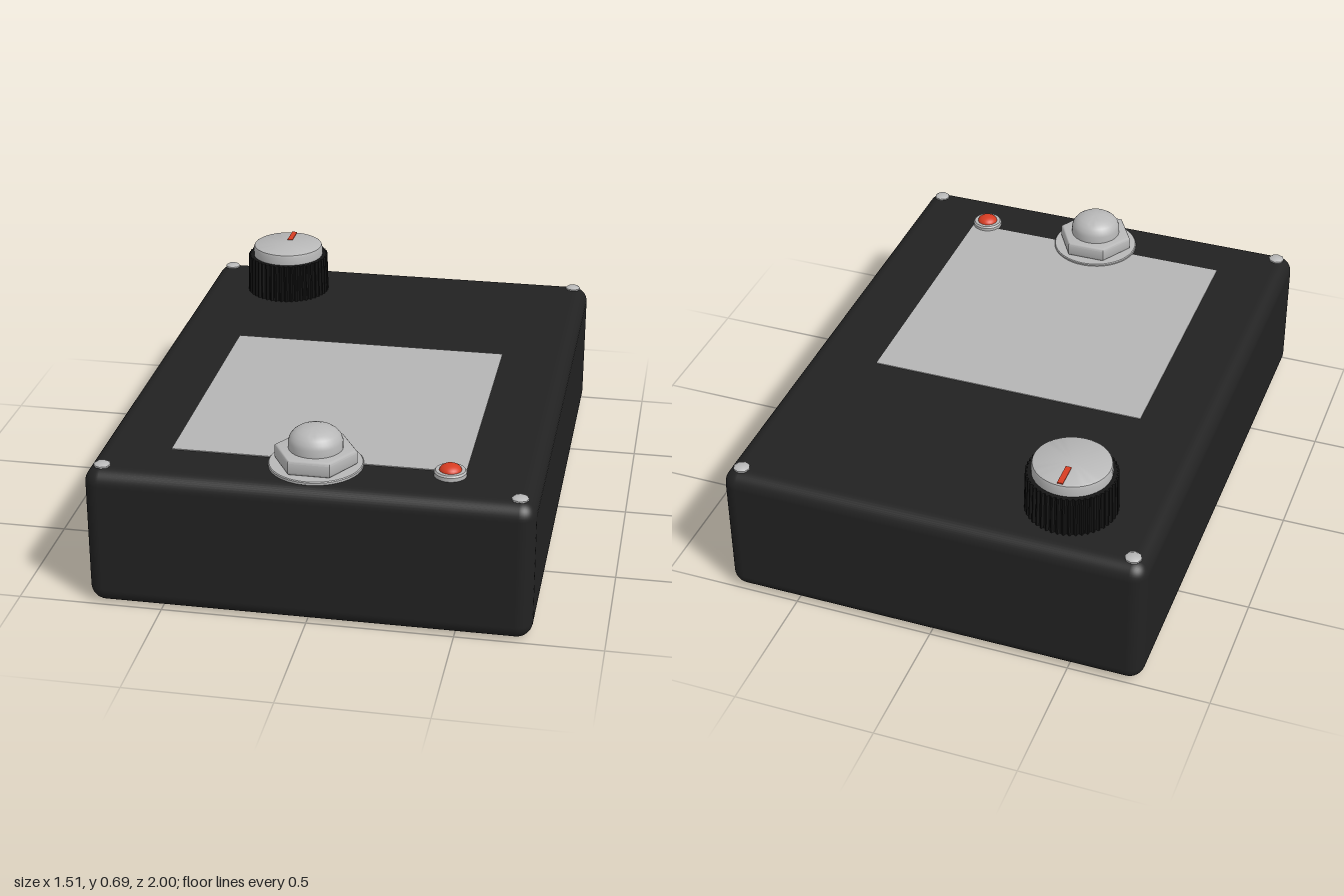
import * as THREE from 'three';
import { RoundedBoxGeometry } from 'three/addons/geometries/RoundedBoxGeometry.js';
import { toCreasedNormals } from 'three/addons/utils/BufferGeometryUtils.js';

const mat = (name, color) => Object.assign(new THREE.MeshStandardMaterial({ color }), { name });

export function createModel() {
  const model = new THREE.Group();
  model.name = 'effectPedal';
  const black = mat('caseBlack', 0x222222);
  const knobBlack = mat('knobBlack', 0x151515);
  const silver = mat('silver', 0xb8b8b8);
  const panelGrey = mat('panelGrey', 0xb4b4b4);
  const red = mat('red', 0xd63c22);

  const add = (parent, name, geometry, material, x = 0, y = 0, z = 0) => {
    const mesh = new THREE.Mesh(geometry, material);
    mesh.name = name;
    mesh.position.set(x, y, z);
    parent.add(mesh);
    return mesh;
  };
  const group = (name, x, y, z) => {
    const g = new THREE.Group();
    g.name = name;
    g.position.set(x, y, z);
    model.add(g);
    return g;
  };
  // Turned part from [radius, height] pairs, bottom to top
  const turned = (points, sides = 40, crease = 0.6) => toCreasedNormals(
    new THREE.LatheGeometry(points.map(([r, y]) => new THREE.Vector2(r, y)), sides), crease);

  // Case and front panel
  add(model, 'case', new RoundedBoxGeometry(1.514, 0.5, 2, 5, 0.055), black, 0, 0.25, 0);
  add(model, 'panel', new THREE.BoxGeometry(1.005, 0.004, 1.005), panelGrey, 0, 0.501, 0.28);

  // Lid screws in the four corners
  for (const x of [-0.7, 0.7]) for (const z of [-0.94, 0.94]) {
    add(model, 'screw', turned([[0.029, 0], [0.029, 0.006], [0.02, 0.012], [0, 0.013]], 8), silver, x, 0.499, z);
  }

  // Knob with a ribbed skirt, bright cap and pointer line
  const knob = group('knob', -0.425, 0.5, -0.75);
  const ribs = 48;
  const outline = new THREE.Shape();
  for (let i = 0; i < ribs * 4; i++) {
    const a = (i / (ribs * 4)) * Math.PI * 2;
    const r = i % 4 < 2 ? 0.16 : 0.152;
    outline[i ? 'lineTo' : 'moveTo'](r * Math.cos(a), r * Math.sin(a));
  }
  const skirt = new THREE.ExtrudeGeometry(outline, { depth: 0.145, bevelEnabled: false });
  skirt.rotateX(-Math.PI / 2);
  // Taper the skirt slightly towards the top
  const p = skirt.attributes.position;
  for (let i = 0; i < p.count; i++) {
    const s = 1 - 0.15 * p.getY(i);
    p.setXYZ(i, p.getX(i) * s, p.getY(i), p.getZ(i) * s);
  }
  skirt.computeVertexNormals();
  add(knob, 'knobSkirt', skirt, knobBlack);
  add(knob, 'knobCap', turned([[0.136, 0.14], [0.136, 0.175], [0.133, 0.184], [0.126, 0.188], [0, 0.188]]), silver);
  add(knob, 'knobPointer', new THREE.BoxGeometry(0.02, 0.006, 0.09), red, 0, 0.188, -0.082);

  // Foot switch: washer, hex nut and domed button
  const foot = group('footSwitch', 0, 0.5, 0.805);
  add(foot, 'washer', turned([[0.16, 0], [0.16, 0.008], [0.157, 0.011], [0, 0.011]], 48), silver);
  const hex = new THREE.Shape();
  for (let i = 0; i < 6; i++) {
    const a = (i * Math.PI) / 3;
    hex[i ? 'lineTo' : 'moveTo'](0.13 * Math.cos(a), 0.13 * Math.sin(a));
  }
  const nut = new THREE.ExtrudeGeometry(hex, {
    depth: 0.034, bevelThickness: 0.01, bevelSize: 0.01, bevelSegments: 3,
  });
  nut.rotateX(-Math.PI / 2);
  add(foot, 'hexNut', toCreasedNormals(nut, 0.7), silver, 0, 0.02, 0);
  add(foot, 'button', turned([
    [0.092, 0.06], [0.092, 0.09], [0.087, 0.105], [0.077, 0.118],
    [0.062, 0.129], [0.042, 0.136], [0.02, 0.14], [0, 0.141],
  ]), silver);

  // Indicator light in a metal ring
  const lamp = group('indicatorLight', 0.453, 0.5, 0.805);
  add(lamp, 'lampRing', turned([[0.055, 0], [0.055, 0.014], [0.05, 0.02], [0.036, 0.02]], 32), silver);
  const dome = new THREE.SphereGeometry(0.038, 28, 10, 0, Math.PI * 2, 0, Math.PI / 2);
  dome.scale(1, 0.62, 1);
  add(lamp, 'lampDome', dome, red, 0, 0.017, 0);

  return model;
}
